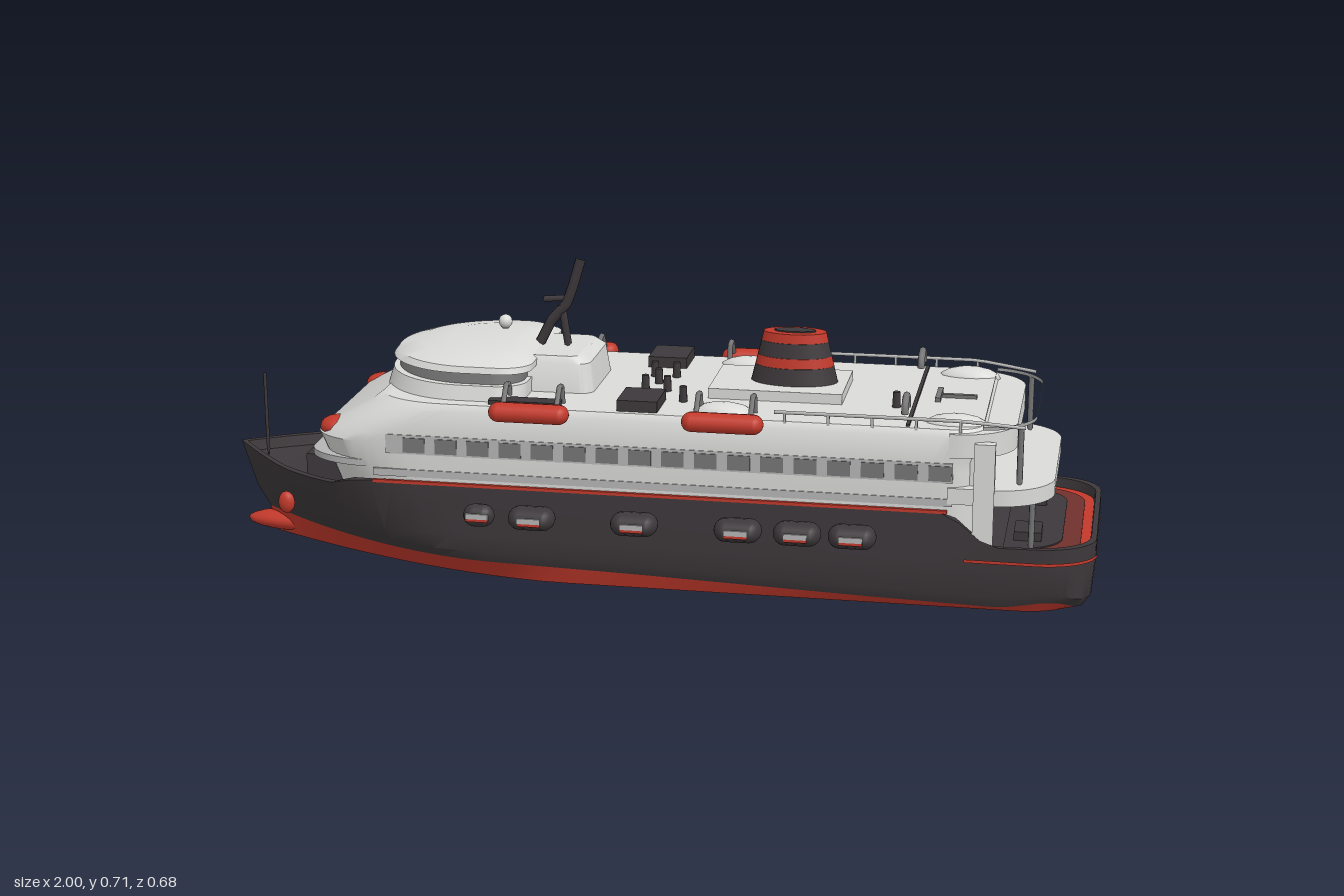
import * as THREE from 'three';
import { toCreasedNormals } from 'three/addons/utils/BufferGeometryUtils.js';

const mat = (name, color, side = THREE.FrontSide) => {
  const m = new THREE.MeshStandardMaterial({ color, side });
  m.name = name;
  return m;
};
const N = 48;

// Symmetric waterline outline from bow (-x) round to stern and back; y may be a function of x
function outline(y, xf, xb, W, front = {}, back = {}) {
  const f = { len: 0.001, r: 0, p: 2, q: 2, ...front }, b = { len: 0.001, r: 0, p: 2, q: 2, ...back };
  const cut = (d, o) => {
    const u = Math.min(1, Math.max(0, d / o.len));
    return o.r * (1 - Math.pow(1 - Math.pow(1 - u, o.p), 1 / o.q));
  };
  const side = [];
  for (let i = 0; i <= N; i++) {
    const x = xf + (xb - xf) * (1 - Math.cos(Math.PI * i / N)) / 2;
    const z = Math.max(0, W - cut(x - xf, f) - cut(xb - x, b));
    side.push([x, typeof y === 'function' ? y(x) : y, z]);
  }
  return [...side, ...side.slice().reverse().map(([x, h, z]) => [x, h, -z])];
}

// Skin a stack of outlines, from the lowest up, with optional caps
function loft(rings, bottom = true, top = true) {
  const n = 2 * N + 2, index = [];
  const quad = (a, b, c, d) => index.push(a, b, c, a, c, d);
  for (let k = 0; k < rings.length - 1; k++)
    for (let i = 0; i < n; i++) {
      const j = (i + 1) % n;
      quad(k * n + i, k * n + j, (k + 1) * n + j, (k + 1) * n + i);
    }
  const o = (rings.length - 1) * n;
  for (let i = 0; i < N; i++) {
    const m = n - 1 - i;
    if (bottom) quad(i, m, m - 1, i + 1);
    if (top) quad(o + i, o + i + 1, o + m - 1, o + m);
  }
  const g = new THREE.BufferGeometry();
  g.setAttribute('position', new THREE.Float32BufferAttribute(rings.flat(2), 3));
  g.setIndex(index);
  return toCreasedNormals(g, 0.6);
}

// Piecewise linear curve through [x, y] pairs
const curve = pts => x => {
  for (let i = 1; i < pts.length; i++) {
    const [a, ya] = pts[i - 1], [b, yb] = pts[i];
    if (x <= b) return ya + (yb - ya) * Math.max(0, (x - a) / (b - a));
  }
  return pts[pts.length - 1][1];
};

export function createModel() {
  const ship = new THREE.Group();
  ship.name = 'ferry';
  const dark = mat('charcoal', 0x3d383b), red = mat('red', 0xc2392b), white = mat('offWhite', 0xdadad8);
  const pale = mat('paleGrey', 0xb4b5b4), grey = mat('windowGrey', 0x767677), maroon = mat('maroon', 0x70302d);
  const rail = mat('railGrey', 0xa4a5a5, THREE.DoubleSide);

  const add = (name, geo, m, x = 0, y = 0, z = 0) => {
    const mesh = new THREE.Mesh(geo, m);
    mesh.name = name;
    mesh.position.set(x, y, z);
    ship.add(mesh);
    return mesh;
  };
  // Box given by its limits
  const box = (name, m, x0, x1, y0, y1, z0, z1) =>
    add(name, new THREE.BoxGeometry(x1 - x0, y1 - y0, z1 - z0), m, (x0 + x1) / 2, (y0 + y1) / 2, (z0 + z1) / 2);
  const tube = (name, m, pts, r) => add(name, new THREE.TubeGeometry(
    new THREE.CatmullRomCurve3(pts.map(p => new THREE.Vector3(...p)), false, 'catmullrom', 0.1), pts.length * 6, r, 7), m);
  const capsule = (name, m, len, r, x, y, z) =>
    add(name, new THREE.CapsuleGeometry(r, len - 2 * r, 6, 14).rotateZ(Math.PI / 2), m, x, y, z);

  // Hull
  const sheer = curve([[-1, 0.237], [-0.85, 0.222], [-0.7, 0.225], [-0.64, 0.245], [0.68, 0.245], [0.77, 0.17], [1, 0.172]]);
  const waterline = curve([[-0.95, 0.08], [-0.5, 0.068], [0, 0.055], [0.5, 0.038], [0.8, 0.03], [0.89, 0.045], [0.93, 0.04], [0.97, 0.023]]);
  const bow = (W, len, p) => ({ r: W, len, p, q: 1 });
  const stern = { r: 0.1, len: 0.13 };
  const keelRing = outline(0.02, -0.92, 0.965, 0.25, bow(0.25, 0.75, 1.7), stern);
  const waterRing = outline(waterline, -0.935, 0.98, 0.262, bow(0.262, 0.6, 1.8), stern);
  add('hullBottom', loft([keelRing, waterRing], true, false), red);
  add('hullSides', loft([
    waterRing,
    outline(x => waterline(x) + 0.025, -0.95, 0.993, 0.273, bow(0.273, 0.54, 1.75), stern),
    outline(0.13, -0.965, 1, 0.275, bow(0.275, 0.46, 1.7), stern),
    outline(sheer, -1, 1, 0.276, bow(0.276, 0.4, 1.7), stern),
    outline(sheer, -0.985, 0.988, 0.264, bow(0.264, 0.4, 1.7), stern),
    outline(x => sheer(x) - 0.025, -0.98, 0.985, 0.262, bow(0.262, 0.4, 1.7), stern),
  ], false, true), dark);
  // Uneven dark paint under the stern
  const paint = new THREE.Shape([[0.46, -0.249], [0.85, -0.249], [0.93, -0.22], [0.963, -0.15], [0.963, 0.15], [0.93, 0.22],
    [0.85, 0.235], [0.5, 0.16], [0.2, 0.11], [0.11, 0.07], [0.13, 0.01], [0.28, -0.08]].map(p => new THREE.Vector2(...p)));
  add('sternBottomPaint', new THREE.ShapeGeometry(paint).rotateX(Math.PI / 2), dark, 0, 0.018, 0);
  const bulb = add('bowBulb', new THREE.SphereGeometry(1, 20, 12), red, -0.87, 0.048, 0);
  bulb.scale.set(0.12, 0.025, 0.04);
  box('rudderStub', red, 0.89, 0.94, 0.003, 0.03, -0.006, 0.006);
  for (const s of [1, -1]) {
    box('sheerLine', red, -0.6, 0.68, 0.241, 0.248, s * 0.274 - 0.004, s * 0.274 + 0.004);
    const anchor = add('anchor', new THREE.SphereGeometry(0.02, 12, 8), red, -0.85, 0.135, s * 0.136);
    anchor.scale.set(1, 1.3, 0.7);
  }
  const trim = y => outline(y, 0.72, 1.003, 0.279, {}, stern);
  add('sternLine', loft([trim(0.134), trim(0.141)], false, false), red);

  // Main superstructure with raked, rounded front
  const fr = { r: 0.1, len: 0.16 }, br = { r: 0.06, len: 0.07 };
  add('cabinBlock', loft([
    outline(0.145, -0.7, 0.74, 0.262, { r: 0.16, len: 0.3 }, br),
    outline(0.25, -0.73, 0.74, 0.267, { r: 0.14, len: 0.22 }, br),
    outline(0.33, -0.75, 0.74, 0.268, fr, br),
    outline(0.35, -0.73, 0.74, 0.268, fr, br),
    outline(0.41, -0.62, 0.76, 0.268, fr, br),
    outline(0.425, -0.6, 0.75, 0.258, fr, br),
  ]), white);
  // Foredeck locker, ledge and red floats
  box('foredeckLocker', dark, -0.79, -0.7, 0.2, 0.262, -0.16, 0.16);
  add('foredeckLedge', loft([
    outline(0.27, -0.77, -0.5, 0.255, fr), outline(0.285, -0.77, -0.5, 0.255, fr)]), pale);
  for (const s of [1, -1]) {
    const f = add('foredeckFloat', new THREE.SphereGeometry(0.04, 14, 10), red, -0.705, 0.342, s * 0.185);
    f.scale.set(1, 0.6, 1);
  }

  // Side windows: a continuous band to the left, stacked pairs to the right
  box('windowBand', pale, -0.57, 0.69, 0.308, 0.352, 0.264, 0.27);
  box('lowerBand', pale, -0.6, 0.69, 0.255, 0.272, 0.264, 0.2695);
  for (let i = 0; i < 17; i++) {
    const x = -0.53 + i * 0.073;
    box('leftWindow', grey, x, x + 0.05, 0.312, 0.346, 0.266, 0.272);
  }
  for (let i = 0; i < 15; i++) {
    const x = -0.57 + i * 0.086;
    for (const y of [0.27, 0.334])
      box('rightWindow', grey, x, x + 0.046, y, y + 0.048, -0.272, -0.266);
  }

  // Bridge with window band and domed roof
  const bf = { r: 0.2, len: 0.2 };
  add('bridgeBase', loft([outline(0.42, -0.62, -0.27, 0.225, bf, br), outline(0.458, -0.61, -0.27, 0.215, bf, br)]), white);
  add('bridgeWindows', loft([outline(0.458, -0.6, -0.28, 0.2, bf, br), outline(0.486, -0.59, -0.28, 0.195, bf, br)]), grey);
  add('bridgeRoof', loft([
    outline(0.484, -0.61, -0.26, 0.21, bf, br), outline(0.498, -0.6, -0.26, 0.205, bf, br),
    outline(0.514, -0.55, -0.28, 0.17, { r: 0.16, len: 0.2 }, br),
    outline(0.524, -0.48, -0.32, 0.1, { r: 0.09, len: 0.1 }, br)]), white);
  add('mastHouse', loft([
    outline(0.42, -0.38, -0.13, 0.12, {}, { r: 0.03, len: 0.03 }),
    outline(0.49, -0.37, -0.14, 0.11, {}, { r: 0.03, len: 0.03 }),
    outline(0.505, -0.36, -0.16, 0.1, {}, { r: 0.03, len: 0.03 })]), white);
  add('radarDome', new THREE.SphereGeometry(0.016, 14, 10), white, -0.37, 0.54, -0.055);
  tube('radarPost', white, [[-0.37, 0.5, -0.055], [-0.37, 0.53, -0.055]], 0.008);

  // Mast
  tube('mast', dark, [[-0.28, 0.5, 0], [-0.25, 0.56, 0], [-0.215, 0.6, 0], [-0.2, 0.64, 0], [-0.18, 0.708, 0]], 0.012);
  tube('mastStrut', dark, [[-0.21, 0.5, 0], [-0.225, 0.6, 0]], 0.009);
  tube('mastArm', dark, [[-0.215, 0.607, 0], [-0.215, 0.613, -0.063]], 0.005);
  tube('mastYard', dark, [[-0.27, 0.61, 0], [-0.21, 0.615, 0]], 0.007);
  tube('bowStaff', dark, [[-0.935, 0.2, 0], [-0.937, 0.405, 0]], 0.004);

  // Funnel, stacked in coloured bands
  box('funnelBase', white, 0.13, 0.43, 0.42, 0.448, -0.105, 0.105);
  const bands = [[0.44, dark], [0.486, red], [0.508, dark], [0.541, red], [0.562, null]];
  const fx = y => 0.1 - (y - 0.44) * 0.24, fz = y => 0.062 - (y - 0.44) * 0.2;
  bands.slice(0, -1).forEach(([y0, m], i) => {
    const y1 = bands[i + 1][0], mid = (y0 + y1) / 2;
    add('funnelBand', new THREE.CylinderGeometry(fx(y1), fx(y0), y1 - y0, 32).scale(1, 1, fz(mid) / fx(mid)), m, 0.31, mid, 0);
  });
  add('funnelMouth', new THREE.CylinderGeometry(0.047, 0.047, 0.004, 24).scale(1, 1, 0.42), dark, 0.31, 0.563, 0);

  // Lifeboats, davits, fenders and rails on both sides
  for (const s of [1, -1]) {
    for (const x of [-0.24, 0.19]) {
      const boat = capsule('lifeboat', red, 0.18, 0.022, x, 0.42, s * 0.28);
      boat.scale.z = 1.2;
      for (const d of [-0.06, 0.06])
        tube('davit', grey, [[x + d, 0.42, s * 0.2], [x + d, 0.465, s * 0.21], [x + d, 0.47, s * 0.235], [x + d, 0.435, s * 0.265]], 0.006);
    }
    for (const x of [-0.35, -0.23, 0, 0.23, 0.36, 0.48]) {
      const small = x === -0.35, zt = s * (small ? 0.326 : 0.339);
      const f = capsule('fender', dark, small ? 0.07 : 0.105, 0.026, x, 0.187, s * 0.305);
      f.scale.z = small ? 0.9 : 1.4;
      box('fenderPatch', pale, x - 0.025, x + 0.025, 0.184, 0.196, zt - 0.003, zt + 0.003);
      box('fenderStripe', red, x - 0.025, x + 0.025, 0.178, 0.184, zt - 0.003, zt + 0.003);
    }
    const arch = add('deckArch', new THREE.TorusGeometry(0.03, 0.008, 8, 16, Math.PI).rotateY(Math.PI / 2), grey, 0.58, 0.445, s * 0.195);
    arch.scale.y = 1.1;
    box('deckLocker', dark, -0.05, 0.04, 0.42, 0.45, s * 0.19 - 0.055, s * 0.19 + 0.055);
    box('deckGear', dark, -0.34, -0.18, 0.42, 0.435, s * 0.225 - 0.02, s * 0.225 + 0.02);
    for (const x of [0.18, 0.69]) {
      const c = add('canvasCover', new THREE.SphereGeometry(0.05, 14, 8), white, x, 0.42, s * 0.2);
      c.scale.set(1.4, 0.5, 0.7);
    }
    tube('deckRail', pale, [[0.3, 0.445, s * 0.258], [0.7, 0.445, s * 0.258], [0.84, 0.43, s * 0.235]], 0.004);
    for (let x = 0.32; x < 0.72; x += 0.095) box('railPost', pale, x, x + 0.006, 0.42, 0.445, s * 0.258 - 0.003, s * 0.258 + 0.003);
  }

  // Deck fittings
  for (const [x, z] of [[-0.02, 0.06], [0.03, 0.06], [-0.02, -0.06], [0.03, -0.06], [0, 0], [0.08, 0.14], [0.55, 0.1]])
    add('ventPost', new THREE.CylinderGeometry(0.008, 0.01, 0.04, 10), dark, x, 0.44, z);
  box('deckBarFore', grey, 0.63, 0.642, 0.42, 0.435, -0.045, 0.045);
  box('deckBarAft', grey, 0.64, 0.72, 0.42, 0.433, -0.006, 0.006);
  box('deckSeam', dark, 0.585, 0.593, 0.422, 0.43, -0.25, 0.25);

  // Open stern decks
  const sr = { r: 0.12, len: 0.13 };
  const slab = (name, y0, y1, xb, W) => add(name, loft([outline(y0, 0.68, xb, W, {}, sr), outline(y1, 0.68, xb, W, {}, sr)]), white);
  slab('upperSternDeck', 0.365, 0.418, 0.82, 0.27);
  slab('middleSternDeck', 0.262, 0.298, 0.905, 0.272);
  add('sternRail', loft([outline(0.424, 0.75, 0.86, 0.25, {}, sr), outline(0.432, 0.75, 0.86, 0.25, {}, sr)], false, false), rail);
  for (let i = 0; i < 8; i++) {
    const z = -0.23 + i * 0.059;
    box('sternWindow', grey, 0.752, 0.758, 0.302, 0.36, z, z + 0.049);
  }
  box('sternWindowWall', white, 0.7, 0.753, 0.29, 0.37, -0.245, 0.245);
  box('sternDoorway', pale, 0.735, 0.744, 0.165, 0.258, 0.112, 0.2);
  for (const s of [1, -1]) {
    box('sternPillar', white, 0.735, 0.78, 0.16, 0.4, s * 0.2635 - 0.012, s * 0.2635 + 0.012);
    tube('sternPost', grey, [[0.86, 0.15, s * 0.22], [0.86, 0.27, s * 0.22]], 0.007);
    tube('upperPost', grey, [[0.83, 0.29, s * 0.215], [0.83, 0.425, s * 0.215]], 0.007);
    box('mooringWinch', dark, 0.82, 0.88, 0.14, 0.175, s * 0.13 - 0.04, s * 0.13 + 0.04);
  }
  // Aft deck paint: red rim, maroon margin, dark middle
  const deckPaint = (name, m, xb, W, y) => {
    const ring = h => outline(h, 0.8, xb, W, {}, stern);
    add(name, loft([ring(0.144), ring(y)], false, true), m);
  };
  deckPaint('sternDeckRim', red, 0.986, 0.262, 0.149);
  deckPaint('sternDeckMargin', maroon, 0.965, 0.245, 0.152);
  deckPaint('sternDeck', dark, 0.925, 0.23, 0.155);
  return ship;
}
